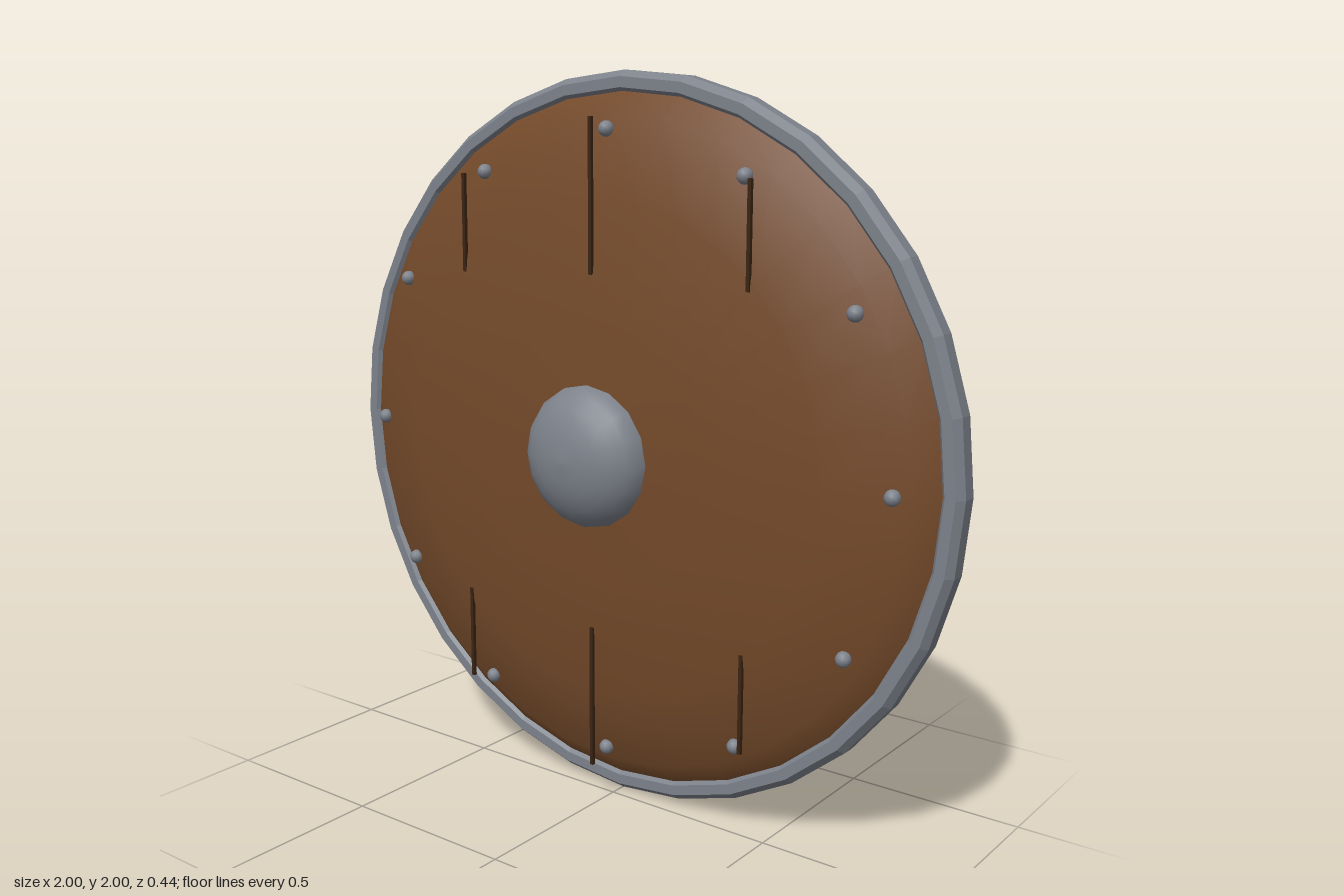
import * as THREE from 'three';
import { RoundedBoxGeometry } from 'three/addons/geometries/RoundedBoxGeometry.js';

const mat = (color, flatShading = false) => new THREE.MeshStandardMaterial({ color, flatShading });
const SIDES = 32;

// Lathe around the z axis from [radius, z] pairs
function lathe(pairs, sides) {
  const points = pairs.map(([r, z]) => new THREE.Vector2(r, z));
  return new THREE.LatheGeometry(points, sides).rotateX(Math.PI / 2);
}

// Half-ellipse profile from the widest ring to the front pole
function domeProfile(radius, height, z, steps) {
  const pairs = [];
  for (let i = 0; i <= steps; i++) {
    const a = (i / steps) * Math.PI / 2;
    pairs.push([i === steps ? 0 : radius * Math.cos(a), z + height * Math.sin(a)]);
  }
  return pairs;
}

export function createModel() {
  const model = new THREE.Group();
  model.name = 'roundShield';
  const body = new THREE.Group();
  body.position.y = 1;
  model.add(body);

  const wood = mat(0x744a2a);
  const steel = mat(0x7d828b);
  const darkWood = mat(0x3b2819);
  const grooveWood = mat(0x3a2413);

  function add(name, geometry, material, x = 0, y = 0, z = 0) {
    const mesh = new THREE.Mesh(geometry, material);
    mesh.name = name;
    mesh.position.set(x, y, z);
    body.add(mesh);
    return mesh;
  }

  // Domed wooden face and its flat back
  add('boardFront', lathe(domeProfile(0.96, 0.17, -0.05, 4), SIDES), wood);
  add('boardBack', lathe([[0, -0.09], [0.96, -0.09]], SIDES), wood);

  // Bevelled metal rim, a closed eight-sided section
  const rim = [
    [0.955, -0.105], [0.983, -0.105], [1, -0.088], [1, -0.047], [0.983, -0.027],
    [0.955, -0.027], [0.938, -0.047], [0.938, -0.088], [0.955, -0.105],
  ];
  add('rim', lathe(rim, SIDES), mat(0x7d828b, true));

  // Central boss
  add('boss', lathe(domeProfile(0.195, 0.12, 0.1, 6), 16), steel);

  // Ring of rivets
  const rivet = new THREE.SphereGeometry(0.021, 10, 8);
  for (let i = 0; i < 12; i++) {
    const a = (i / 12) * Math.PI * 2;
    add('rivet', rivet, steel, 0.85 * Math.sin(a), 0.85 * Math.cos(a), 0.03);
  }

  // Plank seams, mirrored above and below the boss
  for (const s of [1, -1]) {
    add('centreSeam', new THREE.BoxGeometry(0.01, 0.4, 0.01), grooveWood, 0, s * 0.68, 0.095);
    for (const x of [-0.467, 0.467]) {
      add('sideSeam', new THREE.BoxGeometry(0.01, 0.27, 0.01), grooveWood, x, s * 0.597, 0.071);
    }
  }

  // Grip on the back
  add('handle', new RoundedBoxGeometry(0.08, 0.41, 0.14, 2, 0.02), darkWood, 0, -0.115, -0.15);

  return model;
}
